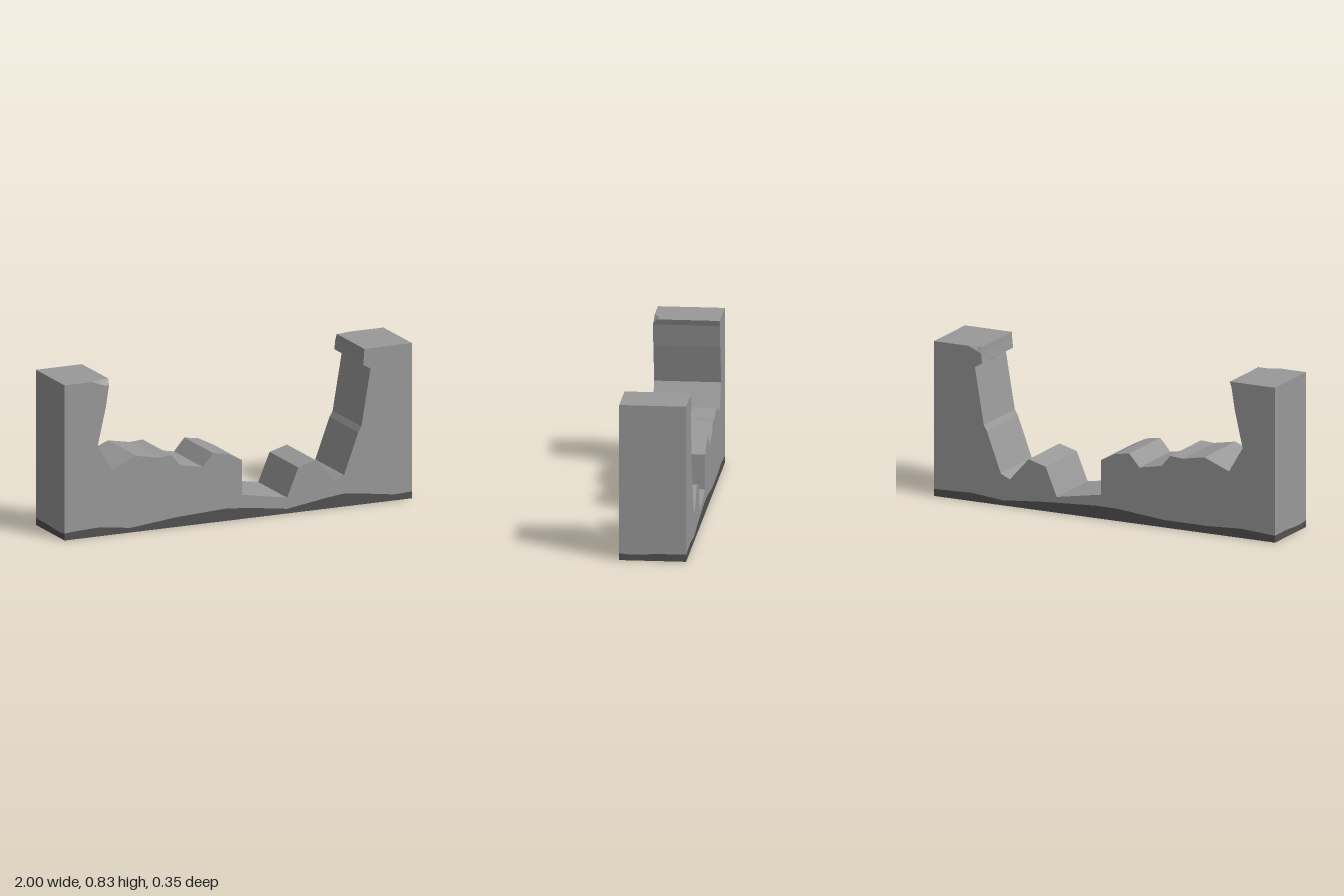
import * as THREE from 'three';
import { mergeGeometries } from 'three/addons/utils/BufferGeometryUtils.js';

const H = 0.835, D = 0.175;

// Broken upper edge of the wall, from left pillar to right pillar
const RIM = [
  [-1, H], [-0.84, H], [-0.79, H], [-0.735, H], [-0.745, 0.805], [-0.763, 0.69], [-0.81, 0.485],
  [-0.73, 0.35], [-0.585, 0.408], [-0.46, 0.385], [-0.385, 0.39], [-0.335, 0.33], [-0.205, 0.305],
  [-0.145, 0.373], [-0.065, 0.36], [0.02, 0.317], [0.021, 0.13], [0.28, 0.085], [0.345, 0.24],
  [0.445, 0.268], [0.555, 0.145], [0.608, 0.17], [0.69, 0.39], [0.708, 0.42], [0.76, 0.725],
  [0.718, 0.75], [0.723, 0.8], [0.725, H], [0.75, H], [0.8, H], [1, H],
];

// Copy of the edge with some corner points chipped away
const chipped = (changes) => RIM.map((p, i) => changes[i] || p);
const FRONT_RIM = chipped({ 2: [-0.785, 0.812], 3: [-0.745, 0.805] });
const BACK_RIM = chipped({ 27: [0.723, 0.8], 28: [0.745, 0.812] });

// Upper border of the dark dirt band on each side, left to right as seen from outside
const FRONT_DIRT = [[-1, 0.037], [-0.93, 0.043], [-0.8, 0.048], [-0.62, 0.025], [-0.36, 0.052],
  [-0.2, 0.06], [-0.07, 0.066], [0.06, 0.055], [0.28, 0.025], [0.52, 0.06], [0.61, 0.07],
  [0.7, 0.06], [0.9, 0.032], [1, 0.037]];
const BACK_DIRT = [[-1, 0.038], [-0.78, 0.045], [-0.6, 0.027], [-0.35, 0.05], [-0.05, 0.067],
  [0.08, 0.066], [0.35, 0.04], [0.62, 0.04], [0.8, 0.05], [1, 0.037]];
const RIGHT_DIRT = [[-D, 0.037], [-0.12, 0.031], [-0.05, 0.032], [0, 0.038], [D, 0.038]];
const LEFT_DIRT = [[-D, 0.037], [-0.05, 0.038], [0.05, 0.032], [0.12, 0.031], [D, 0.037]];

// Flat upright panel, turned about y and pushed outwards
function panel(points, angle, distance) {
  const shape = new THREE.Shape(points.map(([x, y]) => new THREE.Vector2(x, y)));
  const g = new THREE.ShapeGeometry(shape).translate(0, 0, distance).rotateY(angle).toNonIndexed();
  g.deleteAttribute('uv');
  g.computeVertexNormals();
  return g;
}

// Strip over the broken edge between rows at decreasing z
function rimStrip(rows) {
  const v = [];
  for (let r = 0; r < rows.length - 1; r++) {
    const [a, za] = rows[r], [b, zb] = rows[r + 1];
    for (let i = 0; i < a.length - 1; i++) {
      const a0 = [...a[i], za], a1 = [...a[i + 1], za];
      const b0 = [...b[i], zb], b1 = [...b[i + 1], zb];
      v.push(...a0, ...a1, ...b1, ...a0, ...b1, ...b0);
    }
  }
  const g = new THREE.BufferGeometry();
  g.setAttribute('position', new THREE.Float32BufferAttribute(v, 3));
  g.computeVertexNormals();
  return g;
}

export function createModel() {
  const stone = new THREE.MeshStandardMaterial({ color: 0x999999 });
  stone.name = 'stone grey';
  const dirt = new THREE.MeshStandardMaterial({ color: 0x525252 });
  dirt.name = 'dark dirt grey';

  const model = new THREE.Group();
  model.name = 'brokenWall';
  const add = (name, geometries, material) => {
    const mesh = new THREE.Mesh(mergeGeometries(geometries), material);
    mesh.name = name;
    model.add(mesh);
  };

  // Each side: dirt border, top outline right to left, facing angle, distance from centre
  const sides = [
    [FRONT_DIRT, [...FRONT_RIM].reverse(), 0, D],
    [BACK_DIRT, BACK_RIM.map(([x, y]) => [-x, y]), Math.PI, D],
    [RIGHT_DIRT, [[D, H], [-D, H]], Math.PI / 2, 1],
    [LEFT_DIRT, [[D, H], [-D, H]], -Math.PI / 2, 1],
  ];
  const wallFaces = [], dirtFaces = [];
  for (const [border, top, angle, distance] of sides) {
    const end = border[border.length - 1][0];
    wallFaces.push(panel([...border, ...top], angle, distance));
    dirtFaces.push(panel([[-end, 0], [end, 0], ...[...border].reverse()], angle, distance));
  }

  // Underside
  const underside = new THREE.PlaneGeometry(2, 2 * D).rotateX(Math.PI / 2).toNonIndexed();
  underside.deleteAttribute('uv');
  dirtFaces.push(underside);

  add('wallSides', wallFaces, stone);
  add('brokenEdge', [rimStrip([[FRONT_RIM, D], [RIM, 0.148], [RIM, -0.16], [BACK_RIM, -D]])], stone);
  add('dirtBand', dirtFaces, dirt);
  return model;
}
